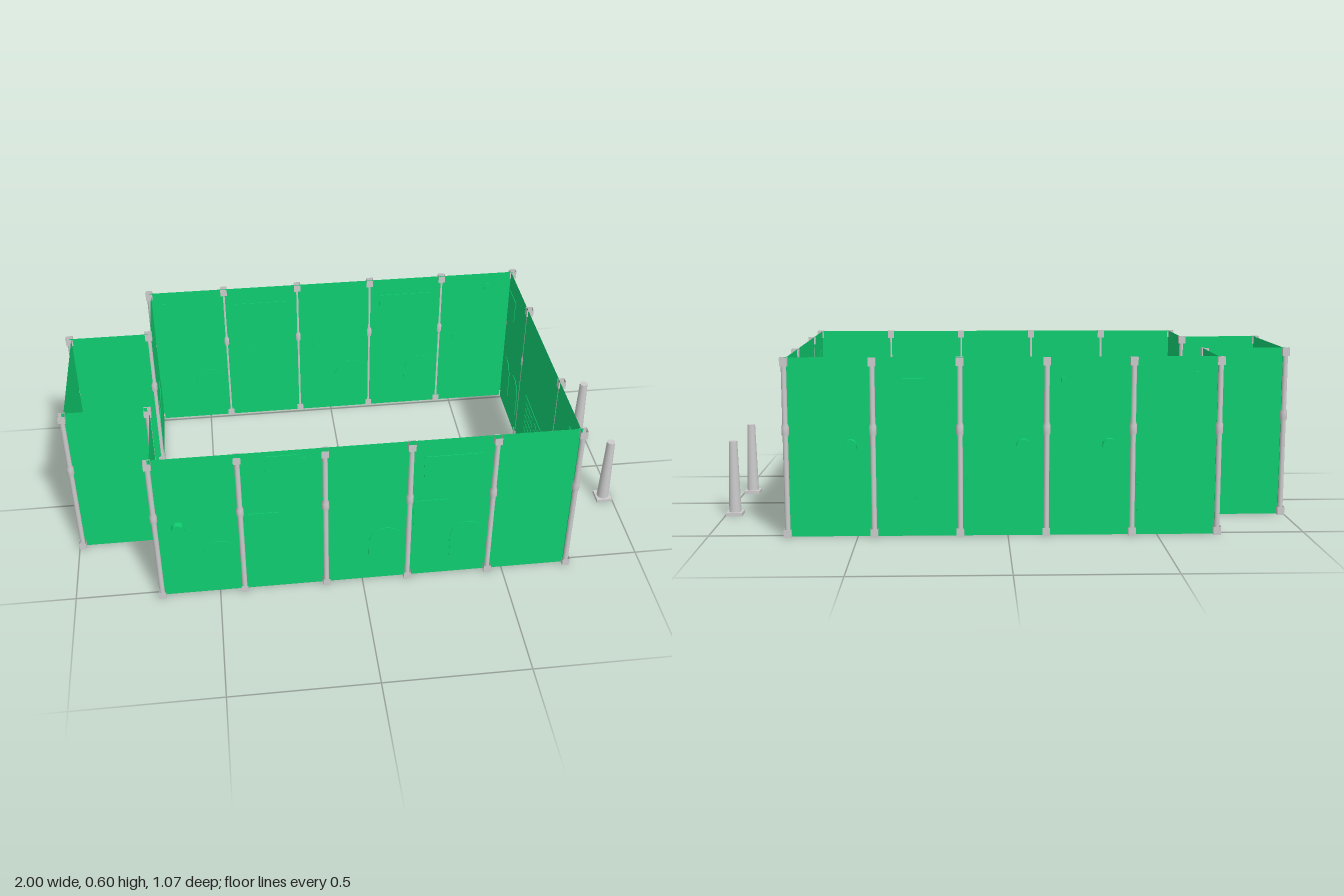
import * as THREE from 'three';

const green = new THREE.MeshStandardMaterial({ color: 0x0fce70, side: THREE.DoubleSide });
const stone = new THREE.MeshStandardMaterial({ color: 0xcccccc, side: THREE.DoubleSide });
const H = 0.6;

function add(parent, name, geo, mat, x = 0, y = 0, z = 0) {
  const m = new THREE.Mesh(geo, mat);
  m.name = name;
  m.position.set(x, y, z);
  parent.add(m);
  return m;
}

// Thin relief slab showing on both faces of a wall
function relief(parent, name, shape, depth = 0.004) {
  const geo = new THREE.ExtrudeGeometry(shape, { depth, bevelEnabled: false, curveSegments: 8 });
  add(parent, name, geo, green, 0, 0, -depth / 2);
}

function rect(x0, x1, y0, y1) {
  return new THREE.Shape([[x0, y0], [x1, y0], [x1, y1], [x0, y1]].map(p => new THREE.Vector2(...p)));
}

function arch(x0, x1, y0, y1) {
  const r = (x1 - x0) / 2;
  const s = new THREE.Shape();
  s.moveTo(x0, y0);
  s.lineTo(x1, y0);
  s.lineTo(x1, y1 - r);
  s.absarc(x0 + r, y1 - r, r, 0, Math.PI, false);
  s.closePath();
  return s;
}

// Wall sheet in its own group; local +z is the outside
function wall(parent, name, length, x, z, turn) {
  const g = new THREE.Group();
  g.name = name;
  g.position.set(x, 0, z);
  g.rotation.y = turn;
  parent.add(g);
  add(g, 'wallSheet', new THREE.PlaneGeometry(length, H), green, 0, H / 2, 0);
  return g;
}

// Double door with rows of slats on both faces
function latticeDoor(parent) {
  relief(parent, 'door', rect(-0.137, 0.137, 0, 0.27));
  for (const side of [-1, 1])
    for (let col = 0; col < 3; col++)
      for (let row = 0; row < 8; row++) {
        const x = side * (0.03 + col * 0.038), y = 0.035 + row * 0.029;
        relief(parent, 'doorSlat', rect(x - 0.014, x + 0.014, y - 0.007, y + 0.007), 0.007);
      }
}

function roundel(parent, x, y = 0.307) {
  const m = add(parent, 'roundel', new THREE.CylinderGeometry(0.022, 0.022, 0.024, 16), green, x, y, 0.01);
  m.rotation.x = Math.PI / 2;
}

// Post: round shaft, swollen middle, square open-topped end blocks
function post(parent, x, z) {
  const g = new THREE.Group();
  g.name = 'post';
  g.position.set(x, 0, z);
  parent.add(g);
  const profile = [[0.009, 0.02], [0.009, 0.338], [0.0125, 0.347], [0.0125, 0.372], [0.009, 0.384], [0.009, 0.58]]
    .map(p => new THREE.Vector2(...p));
  add(g, 'postShaft', new THREE.LatheGeometry(profile, 12), stone);
  for (const y of [0.014, H - 0.014]) {
    const block = add(g, 'postBlock', new THREE.CylinderGeometry(0.0177, 0.0177, 0.028, 4, 1, true)
      .toNonIndexed(), stone, 0, y, 0);
    block.geometry.computeVertexNormals();
    block.rotation.y = Math.PI / 4;
  }
}

export function createModel() {
  const model = new THREE.Group();
  const left = -0.701, right = 0.732, end = -0.9875;
  const depth = 0.523, inner = 0.2365, inset = 0.008;
  const mid = (left + right) / 2, bay = (right - left) / 5;

  // Long front and back walls
  const front = wall(model, 'frontWall', right - left, mid, depth - inset, 0);
  const back = wall(model, 'backWall', right - left, mid, -depth + inset, Math.PI);

  // Reliefs below are listed in world x
  const archSpans = [[-0.55, -0.43], [0.022, 0.143], [0.307, 0.428]];
  for (const [a, b] of archSpans) {
    relief(front, 'archedNiche', arch(a - mid, b - mid, 0.08, 0.23));
    relief(back, 'archedNiche', arch(mid - b, mid - a, 0.08, 0.23));
  }
  const frontPanels = [[0.205, 0.4, 0.43, 0.53], [-0.325, -0.22, 0.385, 0.58],
    [-0.395, -0.28, 0.21, 0.34], [0.175, 0.295, 0.21, 0.34], [-0.21, -0.185, 0.54, 0.565]];
  for (const [a, b, c, d] of frontPanels) relief(front, 'wallPanel', rect(a - mid, b - mid, c, d));
  const backPanels = [[-0.37, -0.175, 0.4, 0.53], [0.2, 0.4, 0.43, 0.53],
    [-0.65, -0.62, 0.52, 0.55], [0.62, 0.645, 0.53, 0.555]];
  for (const [a, b, c, d] of backPanels) relief(back, 'wallPanel', rect(mid - b, mid - a, c, d));
  roundel(front, -0.625 - mid);
  for (const x of [-0.335, -0.05, 0.52]) roundel(back, mid - x);

  // Entrance wall with door, paired niches and square panels
  const entrance = wall(model, 'entranceWall', depth * 2, right - inset, 0, Math.PI / 2);
  latticeDoor(entrance);
  for (const s of [-1, 1]) {
    for (const c of [0.317, 0.452])
      relief(entrance, 'archedNiche', arch(s * c - 0.057, s * c + 0.057, 0.08, 0.226));
    relief(entrance, 'wallPanel', rect(s * 0.45 - 0.046, s * 0.45 + 0.046, 0.435, 0.525));
  }

  // Shoulder walls and alcove at the far end
  for (const s of [-1, 1]) {
    const shoulder = wall(model, 'shoulderWall', depth - inner, left + inset, s * (depth + inner) / 2, -Math.PI / 2);
    for (const c of [-0.067, 0.067])
      relief(shoulder, 'archedNiche', arch(c - 0.057, c + 0.057, 0.08, 0.226));
    wall(model, 'alcoveSideWall', left - end, (left + end) / 2, s * (inner - inset), s > 0 ? 0 : Math.PI);
  }
  latticeDoor(wall(model, 'alcoveEndWall', inner * 2, end + inset, 0, -Math.PI / 2));

  // Posts at every bay and corner
  for (const s of [-1, 1]) {
    for (let i = 0; i <= 5; i++) post(model, left + i * bay, s * depth);
    for (const x of [end, left, right]) post(model, x, s * inner);

    // Free-standing tapered pillars before the entrance
    const pillar = new THREE.Group();
    pillar.name = 'entrancePillar';
    pillar.position.set(0.968, 0, s * 0.187);
    model.add(pillar);
    add(pillar, 'pillarBase', new THREE.BoxGeometry(0.058, 0.012, 0.058), stone, 0, 0.006, 0);
    add(pillar, 'pillarShaft', new THREE.CylinderGeometry(0.015, 0.022, 0.256, 16), stone, 0, 0.14, 0);
  }
  return model;
}
